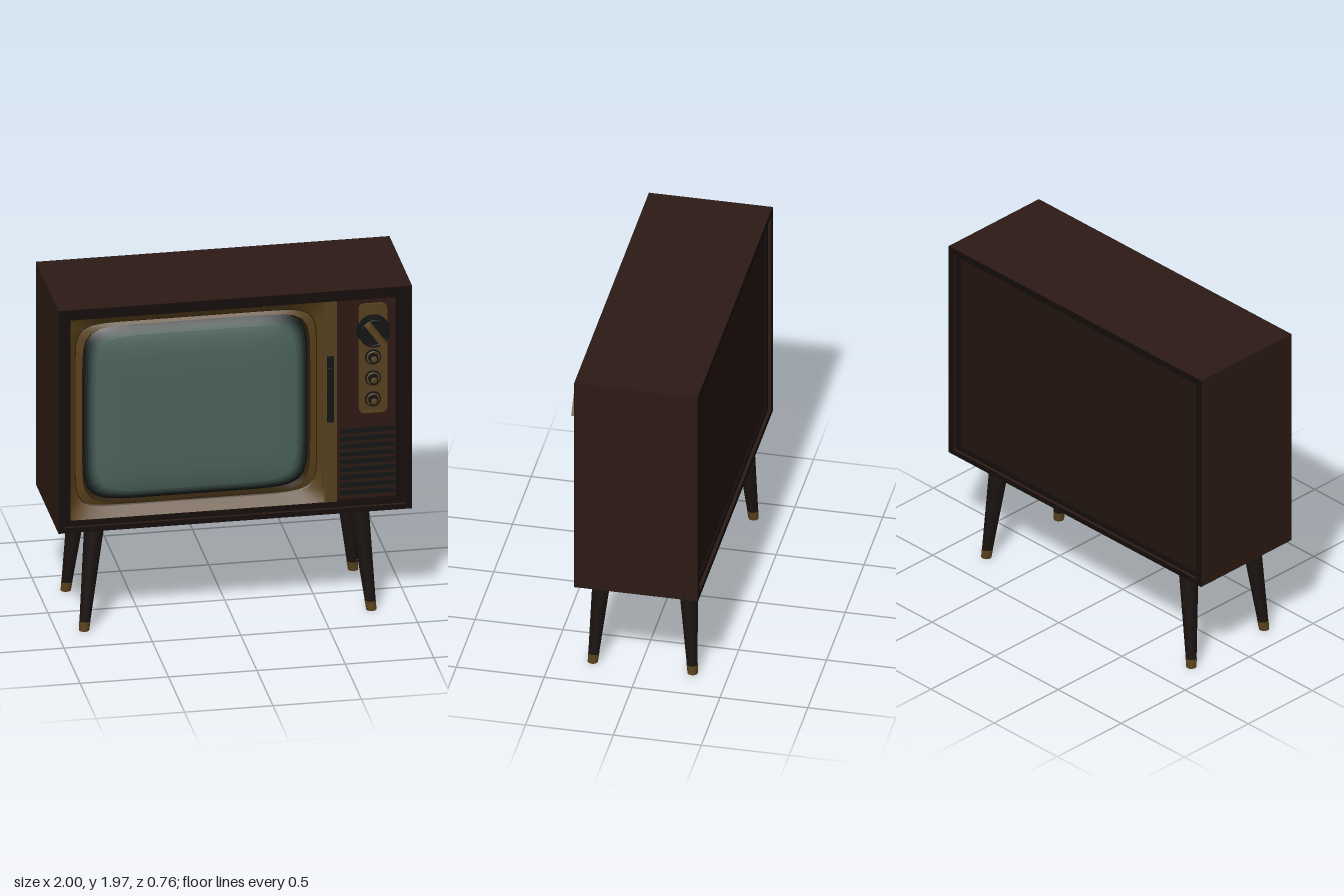
import * as THREE from 'three';

const mat = (color, extra = {}) => {
  const m = new THREE.MeshStandardMaterial({ color, ...extra });
  return m;
};
const WOOD = mat(0x2c1a14), RIM = mat(0x140d0b), PANEL = mat(0x2c1712), BACK = mat(0x231410);
const LEG = mat(0x1a1311), BRASS = mat(0x5a421e), GOLD = mat(0x58401a), STRIP = mat(0x54401f);
const BLACK = mat(0x121414), LINE = mat(0x32230f);

export function createModel() {
  const root = new THREE.Group();
  const add = (name, geo, material, x = 0, y = 0, z = 0, parent = root) => {
    const m = new THREE.Mesh(geo, material);
    m.name = name;
    m.position.set(x, y, z);
    parent.add(m);
    return m;
  };
  const box = (name, x0, x1, y0, y1, z0, z1, material) =>
    add(name, new THREE.BoxGeometry(x1 - x0, y1 - y0, z1 - z0), material,
      (x0 + x1) / 2, (y0 + y1) / 2, (z0 + z1) / 2);

  // Rectangular frame extruded along z
  const rect = (P, x0, x1, y0, y1) => {
    const p = new P();
    p.moveTo(x0, y0); p.lineTo(x1, y0); p.lineTo(x1, y1); p.lineTo(x0, y1); p.closePath();
    return p;
  };
  const frame = (name, o, i, z0, z1, material) => {
    const s = rect(THREE.Shape, ...o);
    s.holes.push(rect(THREE.Path, ...i));
    add(name, new THREE.ExtrudeGeometry(s, { depth: z1 - z0, bevelEnabled: false }), material, 0, 0, z0);
  };

  // Cabinet: dark edges face the front and back, wood on the outside
  const outer = [-1, 1, 0.62, 1.97], mid = [-0.965, 0.965, 0.65, 1.935], inner = [-0.93, 0.92, 0.68, 1.9];
  frame('cabinetShell', outer, mid, -0.373, 0.328, [RIM, WOOD]);
  frame('frontRim', mid, inner, 0.22, 0.31, RIM);
  frame('frontEdge', outer, mid, 0.328, 0.33, RIM);
  frame('backEdge', outer, mid, -0.375, -0.373, RIM);
  frame('backRim', mid, [-0.94, 0.94, 0.675, 1.91], -0.355, -0.32, RIM);
  box('backPanel', -0.965, 0.965, 0.65, 1.935, -0.34, -0.32, BACK);
  box('controlPanel', 0.58, 0.93, 0.67, 1.91, 0.2, 0.27, PANEL);
  box('trimStrip', 0.5, 0.58, 0.68, 1.9, 0.2, 0.3, STRIP);

  // Rounded rectangular rings lofted in z: [halfWidth, halfHeight, power, z]
  const SEG = 96;
  const loft = (rings, cx, cy) => {
    const pos = [], idx = [];
    rings.forEach(([hw, hh, p, z], k) => {
      for (let i = 0; i <= SEG; i++) {
        const a = (i / SEG) * Math.PI * 2, c = Math.cos(a), s = Math.sin(a);
        const r = (Math.abs(c) ** p + Math.abs(s) ** p) ** (-1 / p);
        pos.push(cx + hw * c * r, cy + hh * s * r, z);
        if (k && i < SEG) {
          const b = k * (SEG + 1) + i, a0 = b - SEG - 1;
          idx.push(a0, a0 + 1, b, b, a0 + 1, b + 1);
        }
      }
    });
    const g = new THREE.BufferGeometry();
    g.setAttribute('position', new THREE.Float32BufferAttribute(pos, 3));
    g.setIndex(idx);
    g.computeVertexNormals();
    return g;
  };
  const cx = -0.21, cy = 1.295;
  const R0 = [0.72, 0.612, 300, 0.305], R1 = [0.685, 0.558, 11, 0.262];
  const R2 = [0.68, 0.553, 11, 0.256], R3 = [0.645, 0.537, 9, 0.268];
  const loftGold = mat(0x58401a, { side: THREE.DoubleSide });
  add('bezelSlope', loft([R0, R1], cx, cy), loftGold);
  add('bezelGroove', loft([R1, R2], cx, cy), LINE);
  add('bezelLip', loft([R2, R3], cx, cy), loftGold);
  add('bezelInnerWall', loft([R3, [0.635, 0.528, 8, 0.235]], cx, cy), LINE);

  // Domed picture tube, darkening in bands toward its edge
  const dome = (t) => [0.64 * t, 0.532 * t, 8 - 2 * (1 - t), 0.235 + 0.065 * (1 - t ** 8)];
  const stops = [1, 0.975, 0.955, 0.935, 0.915, 0.89];
  [0x101615, 0x1c2624, 0x2a3835, 0x374a45, 0x425750].forEach((c, i) =>
    add('screenEdge', loft([dome(stops[i]), dome(stops[i + 1])], cx, cy), mat(c)));
  add('screen', loft([0.89, 0.8, 0.65, 0.4, 0.2, 0.001].map(dome), cx, cy), mat(0x4a6159));

  // Push buttons on the trim strip
  for (const [y0, y1] of [[1.5, 1.565], [1.435, 1.492], [1.37, 1.428], [1.302, 1.363], [1.235, 1.295], [1.17, 1.228]])
    box('pushButton', 0.525, 0.562, y0, y1, 0.29, 0.315, BLACK);

  // Rounded control plate with a raised border
  const rounded = (P, w, h, r) => {
    const p = new P(), x = w / 2, y = h / 2;
    p.moveTo(-x + r, -y);
    p.lineTo(x - r, -y); p.quadraticCurveTo(x, -y, x, -y + r);
    p.lineTo(x, y - r); p.quadraticCurveTo(x, y, x - r, y);
    p.lineTo(-x + r, y); p.quadraticCurveTo(-x, y, -x, y - r);
    p.lineTo(-x, -y + r); p.quadraticCurveTo(-x, -y, -x + r, -y);
    return p;
  };
  const plate = rounded(THREE.Shape, 0.155, 0.655, 0.035);
  add('controlPlate', new THREE.ExtrudeGeometry(plate, { depth: 0.012, bevelEnabled: false }), STRIP, 0.787, 1.528, 0.268);
  const border = rounded(THREE.Shape, 0.16, 0.66, 0.037);
  border.holes.push(rounded(THREE.Path, 0.142, 0.642, 0.03));
  add('plateBorder', new THREE.ExtrudeGeometry(border, { depth: 0.02, bevelEnabled: false }), GOLD, 0.787, 1.528, 0.268);

  // Turned knobs facing +z
  const turned = (pts) => new THREE.LatheGeometry(pts.map((p) => new THREE.Vector2(...p)), 40).rotateX(Math.PI / 2);
  const disc = (name, r, z0, z1, x, y, material) =>
    add(name, new THREE.CylinderGeometry(r * 0.95, r, z1 - z0, 40).rotateX(Math.PI / 2), material, x, y, (z0 + z1) / 2);

  // Channel selector: dial with a tilted grip
  disc('channelDial', 0.092, 0.275, 0.333, 0.787, 1.7, BLACK);
  add('dialRing', new THREE.TorusGeometry(0.075, 0.004, 8, 40), LEG, 0.787, 1.7, 0.333);
  const grip = new THREE.BoxGeometry(0.042, 0.155, 0.05);
  const gp = grip.attributes.position;
  for (let i = 0; i < gp.count; i++)
    if (gp.getZ(i) > 0) gp.setXY(i, gp.getX(i) * 0.6, gp.getY(i) * 0.93);
  grip.computeVertexNormals();
  add('channelGrip', grip, BRASS, 0.787, 1.7, 0.356).rotation.z = 0.62;

  // Three small knobs
  for (const y of [1.535, 1.407, 1.28]) {
    disc('knobBase', 0.046, 0.275, 0.29, 0.787, y, BLACK);
    add('knobRing', new THREE.TorusGeometry(0.033, 0.005, 8, 32), BRASS, 0.787, y, 0.291);
    disc('knobBody', 0.027, 0.285, 0.318, 0.787, y, BLACK);
    add('knobCap', turned([[0.018, 0], [0.017, 0.004], [0, 0.005]]), BRASS, 0.787, y, 0.317);
  }

  // Speaker grille slats
  for (let i = 0; i < 9; i++)
    box('grilleSlat', 0.605, 0.907, 0.708 + i * 0.0467, 0.732 + i * 0.0467, 0.265, 0.285, BLACK);

  // Splayed tapered legs with brass tips, sheared so both ends stay level
  const H = 0.63, TIP = 0.055;
  const leg = (tx, tz, bx, bz) => {
    const g = new THREE.Group();
    g.name = 'leg';
    root.add(g);
    const rad = (y) => 0.028 + 0.029 * (y / H);
    const shear = new THREE.Matrix4().set(
      1, (tx - bx) / H, 0, bx, 0, 1, 0, 0, 0, (tz - bz) / H, 1, bz, 0, 0, 0, 1);
    const part = (name, y0, y1, material, extra) =>
      add(name, new THREE.CylinderGeometry(rad(y1) + extra, rad(y0) + extra, y1 - y0, 24)
        .translate(0, (y0 + y1) / 2, 0).applyMatrix4(shear), material, 0, 0, 0, g);
    part('legShaft', TIP, H, LEG, 0);
    part('legTip', 0, TIP, BRASS, 0.001);
  };
  for (const [tx, bx] of [[-0.777, -0.845], [0.715, 0.78]])
    for (const [tz, bz] of [[0.222, 0.27], [-0.255, -0.298]]) leg(tx, tz, bx, bz);

  return root;
}
